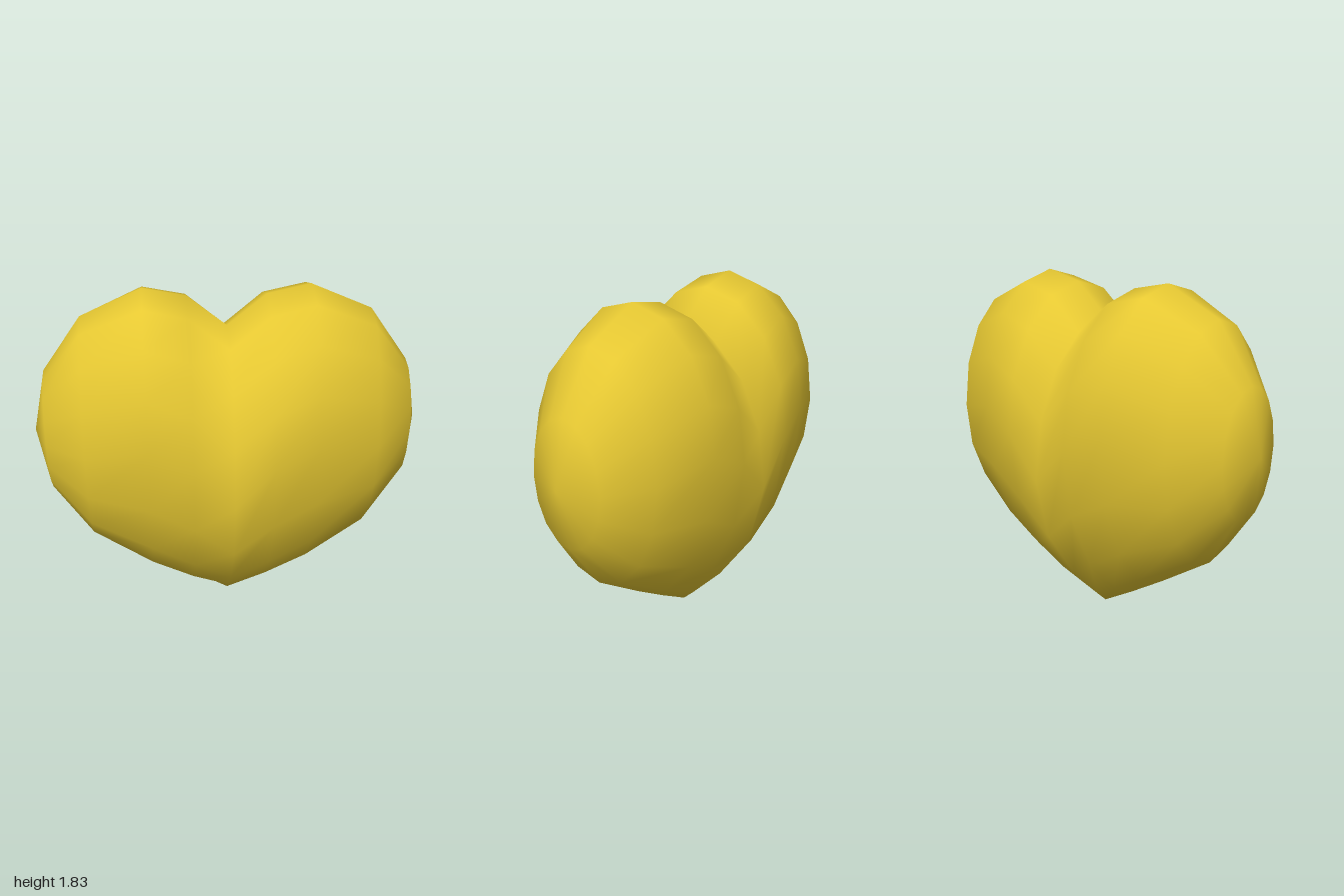
import * as THREE from 'three';

// Half of the heart, from the centre outwards:
// x, top height, height of the widest line, bottom height, half depth, lower pinch
const SECTIONS = [
  [0, 1.62, 0.84, 0, 0.5, 2.1],
  [0.2, 1.78, 1.05, 0.12, 0.5, 1.3],
  [0.42, 1.825, 1.15, 0.26, 0.47, 1],
  [0.73, 1.69, 1.08, 0.47, 0.365, 1],
  [0.93, 1.41, 1.08, 0.75, 0.2, 1],
];
const SIDES = 16;
const POLE_Y = 1.08;

// Closed loops across the width, capped by one point on each flank
function heartGeometry() {
  const mirrored = SECTIONS.slice(1).reverse().map(([x, ...rest]) => [-x, ...rest]);
  const rings = [...mirrored, ...SECTIONS];
  const positions = [];
  const index = [];

  for (const [x, top, mid, bottom, depth, pinch] of rings) {
    for (let j = 0; j < SIDES; j++) {
      const t = (j / SIDES) * Math.PI * 2;
      const c = Math.cos(t), s = Math.sin(t);
      const y = mid + c * (c > 0 ? top - mid : mid - bottom);
      const z = depth * Math.sign(s) * Math.pow(Math.abs(s), c < -0.001 ? pinch : 1);
      positions.push(x, y, z);
    }
  }
  const rightPole = rings.length * SIDES;
  const leftPole = rightPole + 1;
  positions.push(-1, POLE_Y, 0, 1, POLE_Y, 0);

  const last = (rings.length - 1) * SIDES;
  for (let j = 0; j < SIDES; j++) {
    const k = (j + 1) % SIDES;
    for (let i = 0; i < rings.length - 1; i++) {
      const a = i * SIDES + j, b = i * SIDES + k;
      index.push(a, b, a + SIDES, b, b + SIDES, a + SIDES);
    }
    index.push(rightPole, k, j, last + j, last + k, leftPole);
  }

  const geometry = new THREE.BufferGeometry();
  geometry.setAttribute('position', new THREE.Float32BufferAttribute(positions, 3));
  geometry.setIndex(index);
  geometry.computeVertexNormals();
  return geometry;
}

export function createModel() {
  const gold = new THREE.MeshStandardMaterial({ color: 0xe6c832 });
  gold.name = 'gold';

  const heart = new THREE.Mesh(heartGeometry(), gold);
  heart.name = 'heart';

  const model = new THREE.Group();
  model.name = 'heartModel';
  model.add(heart);
  return model;
}
